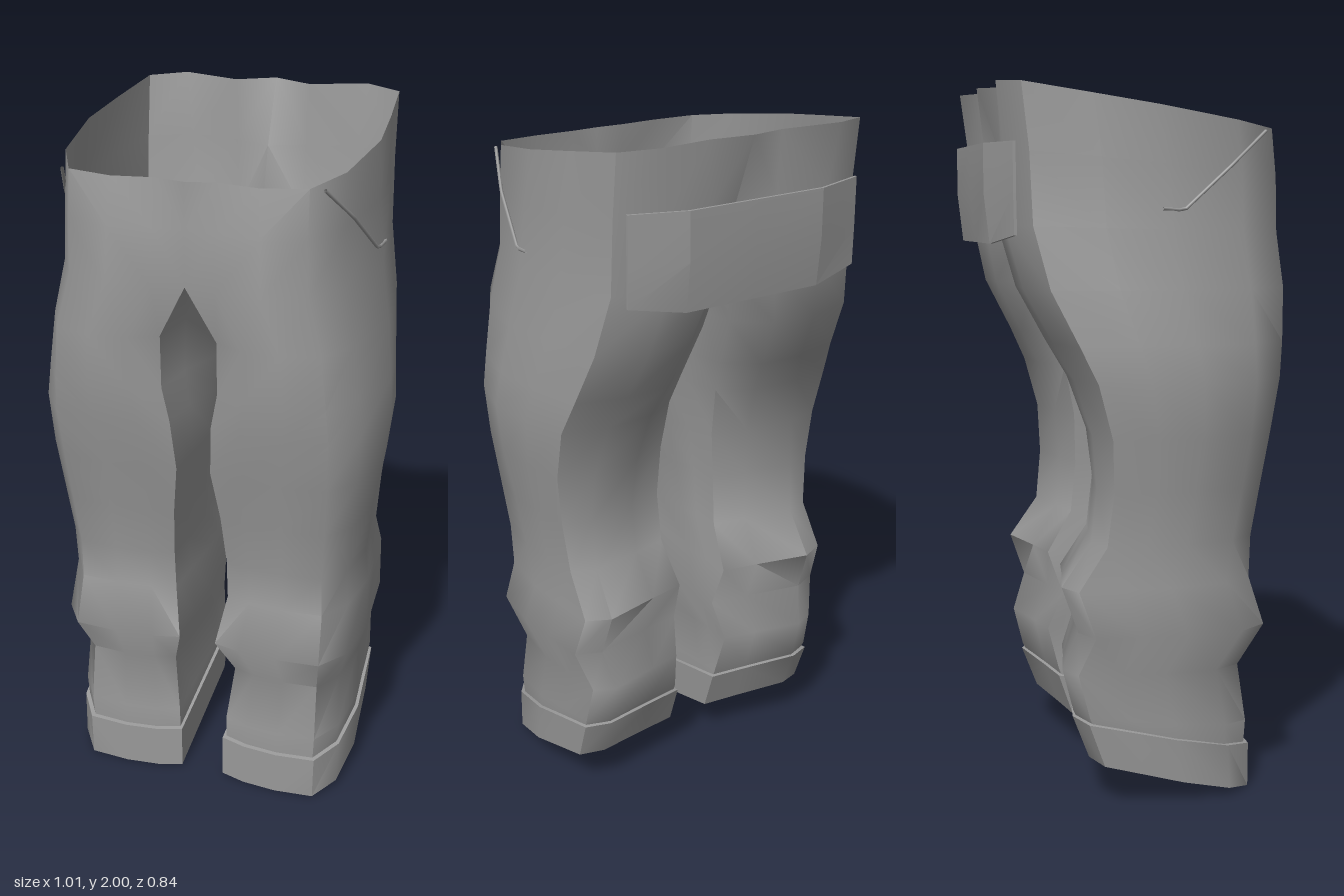
import * as THREE from 'three';
import { mergeGeometries, mergeVertices, toCreasedNormals } from 'three/addons/utils/BufferGeometryUtils.js';

const cloth = new THREE.MeshStandardMaterial({ color: 0x999999, side: THREE.DoubleSide });
cloth.name = 'grey cloth';

const mix = (a, b, t) => a + (b - a) * t;

// One cross-section of the left half, running inner side, front, outer side, back.
// yf, yb: height at front and back; zf, zb: depth; xo: outer x;
// xf, xm, xb: inner x at front, middle and back; h: 0 for a boxy leg, 1 for round hips;
// tf, tb: how far the inner front and back corners lie from the back (0) to the front (1).
function section([yf, yb, zf, zb, xo, xf, xm, xb, h, tf = 0.95, tb = 0.11]) {
  const front = (u, v) => mix(xf, xo, mix(u, v, h)), back = (u, v) => mix(xb, xo, mix(u, v, h));
  return [
    [xm, 0.42], [mix(xm, xf, 0.8), 0.72], [xf, tf],
    [front(0.2, 0.2), 0.985], [front(0.48, 0.48), 1],
    [front(0.8, 0.74), mix(0.985, 0.955, h)], [front(0.95, 0.89), mix(0.83, 0.8, h)],
    [xo, 0.53], [back(0.97, 0.95), 0.3], [back(0.94, 0.86), 0.06],
    [back(0.75, 0.53), 0], [back(0.3, 0.22), mix(0.07, 0.01, h)],
    [xb, tb], [mix(xm, xb, 0.6), 0.28],
  ].map(([x, t]) => [x, mix(yb, yf, t), mix(zb, zf, t)]);
}

// Skin the sections; s = -1 mirrors. Quads lying wholly in the middle plane are left out.
function loft(rows, s) {
  const rings = rows.map(section), n = rings[0].length, index = [];
  const flat = rings.flat();
  for (let r = 0; r < rings.length - 1; r++) {
    for (let i = 0; i < n; i++) {
      const j = (i + 1) % n;
      const a = r * n + i, b = r * n + j, c = b + n, d = a + n;
      if ([a, b, c, d].every(k => Math.abs(flat[k][0]) < 1e-5)) continue;
      if (s > 0) index.push(a, b, c, a, c, d);
      else index.push(a, c, b, a, d, c);
    }
  }
  const geo = new THREE.BufferGeometry();
  geo.setAttribute('position', new THREE.Float32BufferAttribute(flat.flatMap(([x, y, z]) => [x * s, y, z]), 3));
  geo.setIndex(index);
  return geo;
}

export function createModel() {
  const model = new THREE.Group();
  model.name = 'trousers';
  const add = (name, geo) => {
    const mesh = new THREE.Mesh(geo, cloth);
    mesh.name = name;
    model.add(mesh);
  };

  // Legs with folds at the shins, joined at the crotch into the hips
  const lower = [
    [0.10, 0.23, 0.300, -0.190, 0.420, 0.075, 0.075, 0.075, 0],
    [0.20, 0.27, 0.305, -0.210, 0.427, 0.075, 0.075, 0.075, 0],
    [0.37, 0.39, 0.280, -0.240, 0.418, 0.095, 0.085, 0.090, 0],
    [0.49, 0.50, 0.350, -0.200, 0.455, 0.055, 0.055, 0.070, 0],
    [0.63, 0.63, 0.305, -0.245, 0.442, 0.080, 0.070, 0.080, 0],
    [0.75, 0.75, 0.310, -0.160, 0.442, 0.080, 0.075, 0.095, 0.1],
    [0.90, 0.90, 0.335, -0.145, 0.460, 0.070, 0.065, 0.100, 0.2],
    [1.05, 1.05, 0.365, -0.155, 0.487, 0.050, 0.035, 0.090, 0.5],
  ];
  const upper = [
    [1.20, 1.20, 0.395, -0.200, 0.505, 0.060, 0.010, 0.080, 0.8, 0.94, 0.12],
    [1.30, 1.30, 0.410, -0.250, 0.495, 0.080, 0, 0.065, 1, 0.93, 0.12],
    [1.45, 1.45, 0.420, -0.330, 0.475, 0.080, 0, 0.045, 1, 0.93, 0.12],
    [1.60, 1.62, 0.415, -0.372, 0.448, 0, 0, 0, 1, 0.965, 0.13],
    [1.75, 1.82, 0.405, -0.380, 0.432, 0, 0, 0, 0.7, 0.975, 0.07],
    [1.88, 2.00, 0.385, -0.400, 0.420, 0, 0, 0, 0.4, 1, 0],
  ];
  const body = mergeVertices(mergeGeometries([1, -1].map(s => loft([...lower, ...upper], s))), 1e-4);
  add('legsAndHips', toCreasedNormals(body, 0.9));

  // Turned-up hems, with a lip folded inside
  const hem = [
    [0.10, 0.22, 0.280, -0.170, 0.405, 0.095, 0.095, 0.095, 0],
    [0.005, 0.13, 0.290, -0.140, 0.408, 0.090, 0.090, 0.090, 0],
    [0.00, 0.13, 0.314, -0.165, 0.430, 0.066, 0.066, 0.066, 0],
    [0.13, 0.255, 0.314, -0.213, 0.433, 0.066, 0.066, 0.066, 0],
    [0.132, 0.257, 0.300, -0.198, 0.418, 0.080, 0.080, 0.080, 0],
  ];
  // Slanted pocket edges, just proud of the hips
  const pocket = [[0.358, 1.875, 0.335], [0.405, 1.78, 0.22], [0.438, 1.66, 0.075], [0.444, 1.665, 0.015]];
  for (const s of [1, -1]) {
    const side = s > 0 ? 'left' : 'right';
    add(side + 'Hem', toCreasedNormals(loft(hem, s), 0.9));
    const path = new THREE.CurvePath();
    const pts = pocket.map(([x, y, z]) => new THREE.Vector3(x * s, y, z));
    for (let i = 0; i < pts.length - 1; i++) path.add(new THREE.LineCurve3(pts[i], pts[i + 1]));
    add(side + 'PocketEdge', new THREE.TubeGeometry(path, 18, 0.005, 5));
  }

  // Bent panel across the seat: a box whose vertices follow the curve of the hips
  const panel = new THREE.BoxGeometry(0.72, 0.27, 0.008, 4, 2, 1);
  const p = panel.attributes.position;
  for (let i = 0; i < p.count; i++) {
    const column = Math.round(p.getX(i) / 0.18), end = Math.abs(column) === 2;
    const x = [0, 0.21, 0.363][Math.abs(column)] * Math.sign(column);
    const low = p.getY(i) < -0.1;
    const y = 1.705 + p.getY(i) + (end && low ? 0.025 : 0);
    p.setXYZ(i, x, y, p.getZ(i) + (end ? -0.369 : -0.419) + (low ? (end ? 0.002 : 0.015) : 0));
  }
  add('seatPanel', toCreasedNormals(panel, 0.3));

  return model;
}
